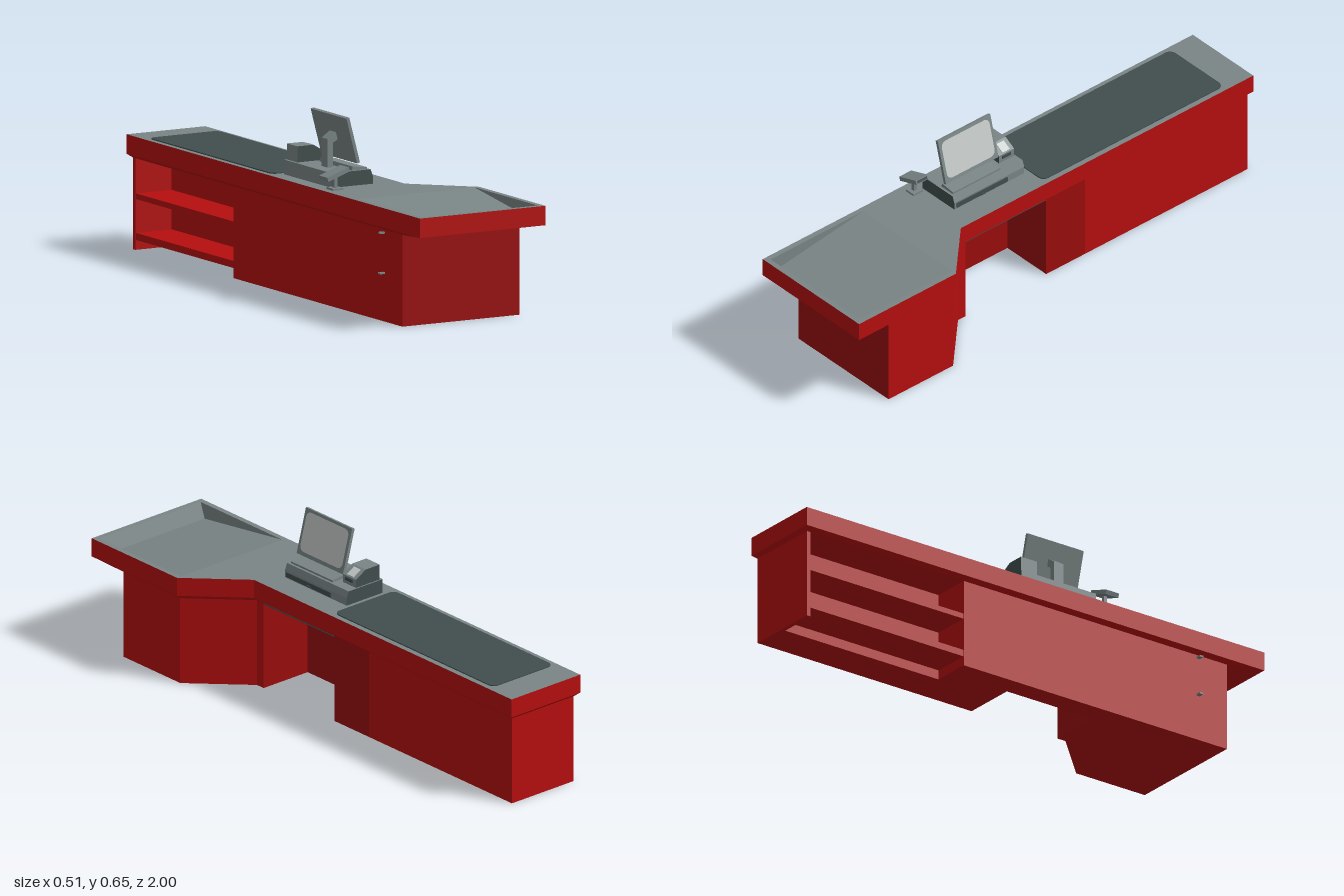
import * as THREE from 'three';

const mat = (name, color, side = THREE.FrontSide) => {
  const m = new THREE.MeshStandardMaterial({ color, side });
  m.name = name;
  return m;
};

export function createModel() {
  const red = mat('red', 0xb50e0e, THREE.DoubleSide);
  const darkRed = mat('dark red', 0x990c0c, THREE.DoubleSide);
  const grey = mat('grey', 0x7a8586, THREE.DoubleSide);
  const dark = mat('dark grey', 0x414e4d, THREE.DoubleSide);
  const light = mat('light grey', 0xc4c9c7);

  const model = new THREE.Group();
  model.name = 'checkoutCounter';

  const add = (name, geometry, material, parent = model) => {
    const mesh = new THREE.Mesh(geometry, material);
    mesh.name = name;
    parent.add(mesh);
    return mesh;
  };

  // Box given by its x, y and z ranges
  const box = (name, [x0, x1], [y0, y1], [z0, z1], material, parent) => {
    const mesh = add(name, new THREE.BoxGeometry(x1 - x0, y1 - y0, z1 - z0), material, parent);
    mesh.position.set((x0 + x1) / 2, (y0 + y1) / 2, (z0 + z1) / 2);
    return mesh;
  };

  // Faces from lists of four corners
  const quads = (list) => {
    const pos = [];
    for (const [a, b, c, d] of list) pos.push(...a, ...b, ...c, ...a, ...c, ...d);
    const g = new THREE.BufferGeometry();
    g.setAttribute('position', new THREE.Float32BufferAttribute(pos, 3));
    g.computeVertexNormals();
    return g;
  };

  // Walls between two plan outlines of (x, z) points; keep selects edges
  const walls = (low, y0, high, y1, keep = () => true) => {
    const list = [];
    low.forEach(([x, z], i) => {
      if (!keep(i)) return;
      const j = (i + 1) % low.length;
      list.push([[x, y0, z], [low[j][0], y0, low[j][1]],
        [high[j][0], y1, high[j][1]], [high[i][0], y1, high[i][1]]]);
    });
    return quads(list);
  };

  // Flat plan polygon, facing up or down
  const toPoints = (outline) => outline.map(([x, z]) => new THREE.Vector2(x, -z));
  const flat = (outline, y, up, hole) => {
    const shape = new THREE.Shape(toPoints(outline));
    if (hole) shape.holes.push(new THREE.Path(toPoints(hole)));
    const g = new THREE.ShapeGeometry(shape).rotateX(-Math.PI / 2);
    if (!up) {
      g.index.array.reverse();
      const n = g.attributes.normal;
      for (let i = 0; i < n.count; i++) n.setXYZ(i, 0, -1, 0);
    }
    return g.translate(0, y, 0);
  };

  // Front profile of (x, y) points drawn out along z
  const profile = (name, points, z0, z1, material, parent) => {
    const shape = new THREE.Shape(points.map(([x, y]) => new THREE.Vector2(x, y)));
    const g = new THREE.ExtrudeGeometry(shape, { depth: z1 - z0, bevelEnabled: false });
    return add(name, g.translate(0, 0, z0), material, parent);
  };

  const roundedRect = (w, h, r) => {
    const s = new THREE.Shape();
    const x = w / 2, y = h / 2;
    s.absarc(x - r, y - r, r, 0, Math.PI / 2);
    s.absarc(-x + r, y - r, r, Math.PI / 2, Math.PI);
    s.absarc(-x + r, -y + r, r, Math.PI, Math.PI * 1.5);
    s.absarc(x - r, -y + r, r, Math.PI * 1.5, Math.PI * 2);
    return s;
  };

  // Cabinet with a knee space on one side and a shelf bay on the other
  const Y = 0.325, TOP = 0.407;
  const cabinet = [[-0.237, 0.85], [0.24, 0.85], [0.24, 0.55], [0.05, 0.36], [0.05, 0.325],
    [-0.155, 0.325], [-0.155, -0.05], [0.05, -0.05], [0.05, -0.23], [0.05, -0.985],
    [-0.237, -0.985], [-0.237, -0.97], [-0.09, -0.97], [-0.09, -0.3], [-0.237, -0.3]];
  const darkEdges = [0, 4, 5, 6, 7];
  add('cabinetWalls', walls(cabinet, 0, cabinet, Y, (i) => !darkEdges.includes(i)), red);
  add('cabinetDarkPanels', walls(cabinet, 0, cabinet, Y, (i) => darkEdges.includes(i)), darkRed);
  add('cabinetBottom', flat(cabinet, 0, false), red);
  for (const [y0, y1] of [[0.035, 0.06], [0.18, 0.2]])
    box('shelf', [-0.235, -0.09], [y0, y1], [-0.97, -0.3], red);
  box('kneeSpaceCeiling', [-0.155, 0.05], [0.32, 0.324], [-0.05, 0.325], dark);

  // Counter rim, underside and top
  const rim = [[-0.255, 1], [0.255, 1], [0.255, 0.55], [0.065, 0.36], [0.065, -1], [-0.255, -1]];
  const inner = [[-0.237, 0.85], [0.24, 0.85], [0.24, 0.55], [0.05, 0.36], [0.05, -0.985], [-0.237, -0.985]];
  add('counterRim', walls(rim, 0.338, rim, TOP), red);
  add('counterChamfer', walls(inner, Y, rim, 0.338), red);
  add('counterUnderside', flat(inner, Y, false), red);
  const hole = [[-0.235, 0.55], [-0.235, 0.98], [0.235, 0.98], [0.235, 0.55]];
  add('counterTop', flat(rim, TOP, true, hole), grey);

  // Sloping bagging basin
  const B = 0.235, D = 0.35;
  add('baggingBasin', quads([
    [[-B, TOP, 0.55], [-B, D, 0.96], [B, D, 0.96], [B, TOP, 0.55]],
    [[-B, D, 0.96], [-B, TOP, 0.98], [B, TOP, 0.98], [B, D, 0.96]],
    [[-B, TOP, 0.55], [-B, TOP, 0.98], [-B, D, 0.96], [-B, D, 0.96]],
    [[B, TOP, 0.55], [B, D, 0.96], [B, TOP, 0.98], [B, TOP, 0.98]],
  ]), grey);

  // Conveyor belt
  const belt = add('conveyorBelt', new THREE.ExtrudeGeometry(roundedRect(0.28, 0.84, 0.025),
    { depth: 0.004, bevelEnabled: false }), dark);
  belt.rotation.x = -Math.PI / 2;
  belt.position.set(-0.095, TOP, -0.46);

  // Door handles
  for (const y of [0.172, 0.315])
    box('doorHandle', [-0.258, -0.235], [y - 0.003, y + 0.003], [0.717, 0.731], grey);

  // Cash register
  const register = new THREE.Group();
  register.name = 'cashRegister';
  model.add(register);
  profile('registerBase', [[-0.2, TOP], [-0.032, TOP], [-0.032, 0.435], [-0.041, 0.459], [-0.2, 0.459]],
    -0.02, 0.305, [dark, grey], register);
  profile('receiptPrinter', [[-0.19, 0.459], [-0.08, 0.459], [-0.08, 0.49], [-0.125, 0.516], [-0.19, 0.516]],
    -0.015, 0.055, [dark, grey], register);
  box('printerSlot', [-0.081, -0.078], [0.472, 0.484], [0, 0.04], dark, register);
  const receipt = box('receipt', [-0.118, -0.08], [0.506, 0.509], [0.002, 0.036], light, register);
  receipt.rotation.z = -0.524;
  receipt.position.set(-0.1, 0.503, 0.019);
  profile('keyboard', [[-0.112, 0.459], [-0.05, 0.459], [-0.05, 0.466], [-0.108, 0.473]],
    0.075, 0.295, grey, register);
  box('drawerFront', [-0.033, -0.028], [0.412, 0.43], [0.06, 0.295], dark, register);
  box('drawerLock', [-0.03, -0.024], [0.414, 0.419], [0.165, 0.185], dark, register);

  // Screen on its bent post
  profile('screenPost', [[-0.153, 0.459], [-0.132, 0.459], [-0.132, 0.545], [-0.108, 0.558],
    [-0.115, 0.585], [-0.153, 0.56]], 0.158, 0.2, grey, register);
  const screen = new THREE.Group();
  screen.name = 'screen';
  screen.position.set(-0.109, 0.566, 0.178);
  screen.rotation.z = 0.261;
  register.add(screen);
  box('screenCase', [-0.006, 0.006], [-0.084, 0.084], [-0.122, 0.122], grey, screen);
  const panel = add('screenPanel', new THREE.ShapeGeometry(roundedRect(0.222, 0.144, 0.022)), light, screen);
  panel.rotation.y = Math.PI / 2;
  panel.position.set(0.007, 0.002, 0);

  // Handheld scanner on its stand
  const scanner = new THREE.Group();
  scanner.name = 'scanner';
  model.add(scanner);
  box('scannerFoot', [-0.226, -0.185], [TOP, 0.414], [0.315, 0.36], grey, scanner);
  box('scannerPost', [-0.212, -0.2], [0.414, 0.462], [0.331, 0.345], grey, scanner);
  const head = new THREE.Group();
  head.name = 'scannerHead';
  head.position.set(-0.208, 0.464, 0.338);
  head.rotation.z = 0.33;
  scanner.add(head);
  box('scannerCase', [-0.046, 0.046], [-0.008, 0.008], [-0.028, 0.028], grey, head);
  box('scannerWindow', [0.045, 0.047], [-0.005, 0.005], [-0.022, 0.022], dark, head);

  return model;
}
